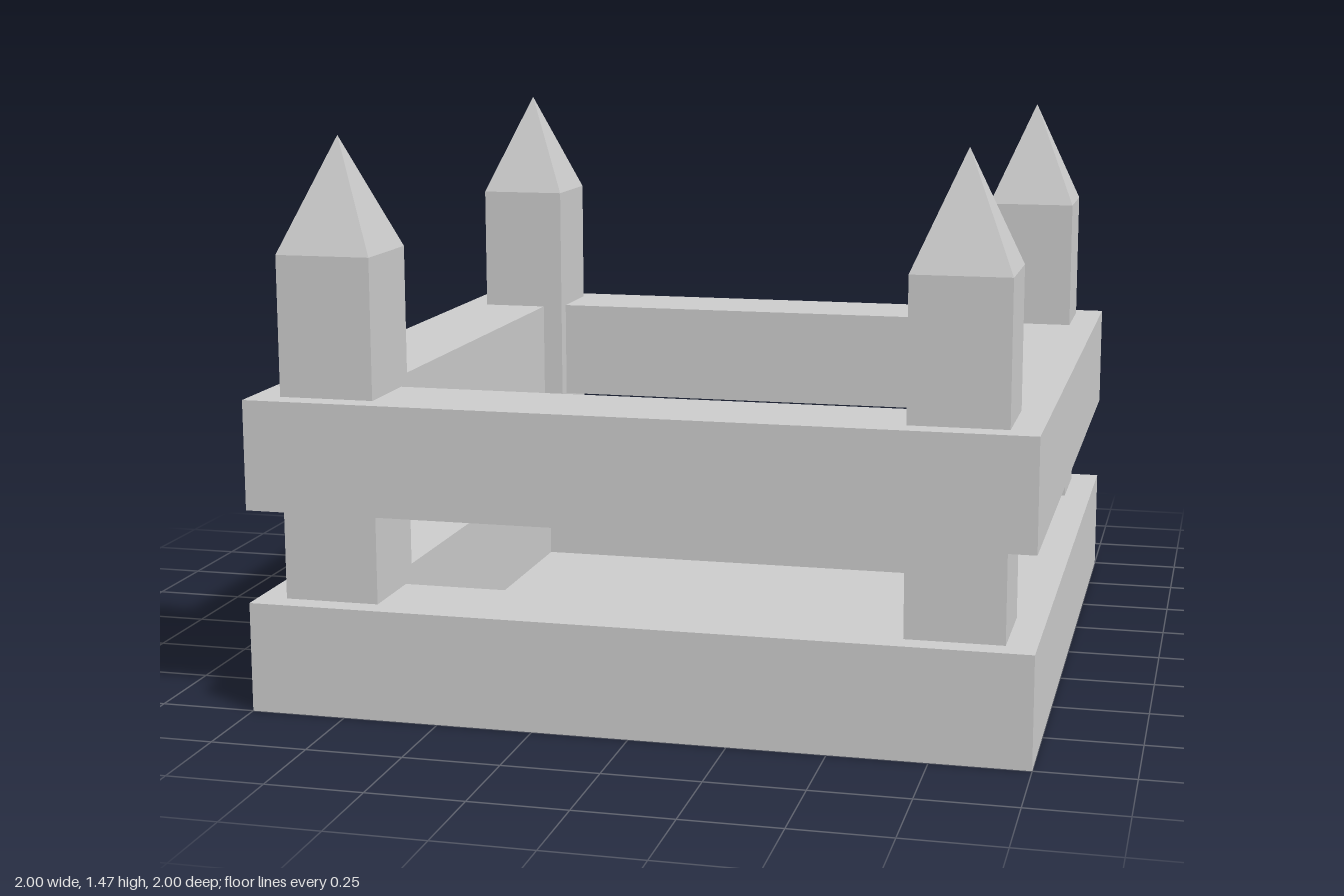
import * as THREE from 'three';

const material = new THREE.MeshStandardMaterial({
  color: 0xcccccc, flatShading: true, side: THREE.DoubleSide,
});

// Sweeps a [halfWidth, y] profile round a square plan with sides along x and z.
function squareLathe(name, profile) {
  const points = profile.map(([half, y]) => new THREE.Vector2(half * Math.SQRT2, y));
  const mesh = new THREE.Mesh(new THREE.LatheGeometry(points, 4, Math.PI / 4), material);
  mesh.name = name;
  return mesh;
}

export function createModel() {
  const group = new THREE.Group();
  group.name = 'fencedEnclosure';

  const outer = 1, inner = 0.735;

  // Lower frame: hollow underneath, its inner wall running down to the floor
  group.add(squareLathe('baseFrameAndFloor', [
    [outer, 0], [outer, 0.287], [inner, 0.287], [inner, 0], [0, 0],
  ]));

  // Upper rail: closed square ring
  group.add(squareLathe('upperRail', [
    [inner, 0.53], [outer, 0.53], [outer, 0.815], [inner, 0.815], [inner, 0.53],
  ]));

  // Pointed corner posts
  const half = 0.124;
  for (const sx of [-1, 1]) {
    for (const sz of [-1, 1]) {
      const post = squareLathe('cornerPost', [[0, 0.2], [half, 0.2], [half, 1.177], [0, 1.47]]);
      post.position.set(sx * 0.8, 0, sz * 0.814);
      group.add(post);
    }
  }
  return group;
}
